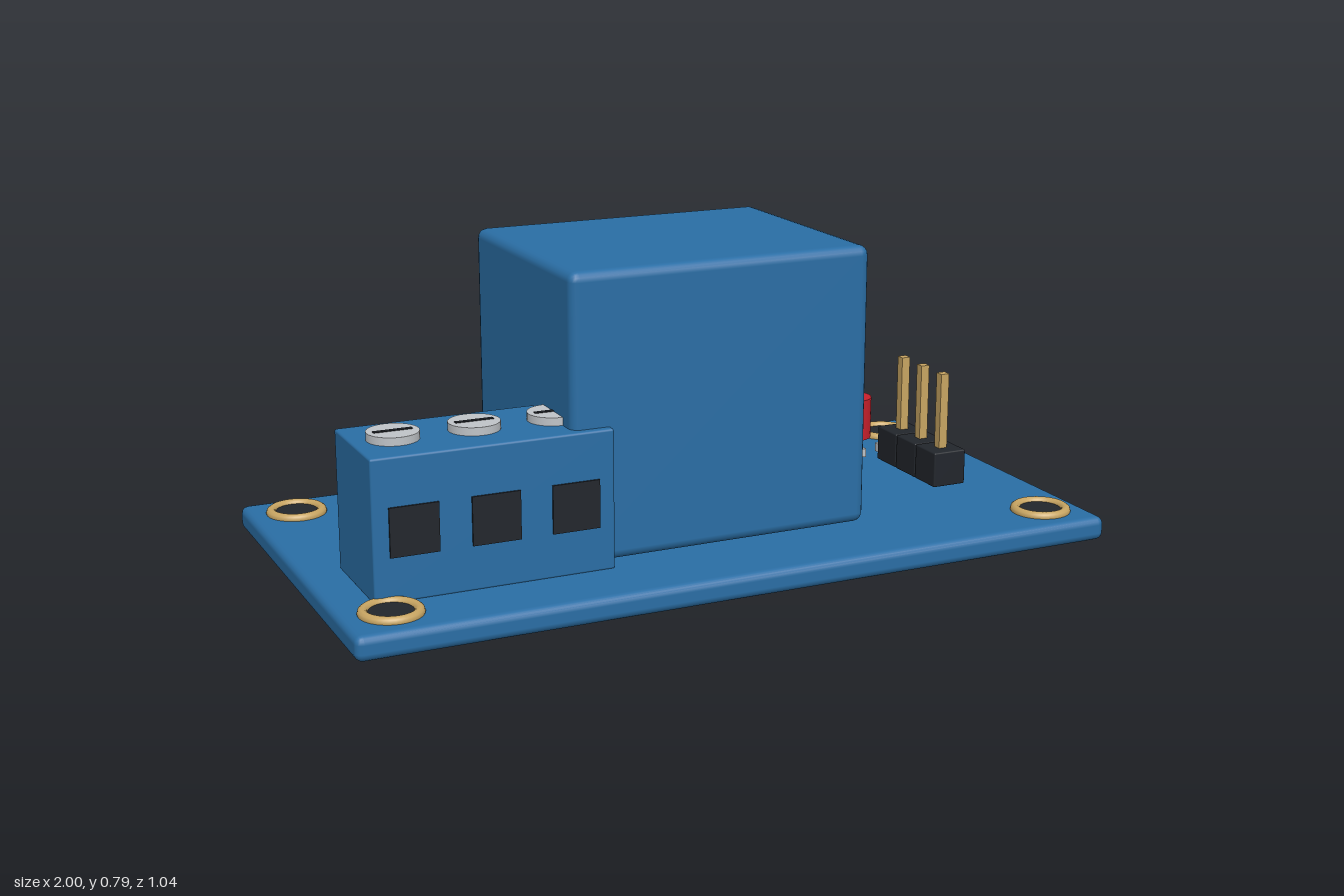
import * as THREE from 'three';
import { RoundedBoxGeometry } from 'three/addons/geometries/RoundedBoxGeometry.js';

const paint = (color) => new THREE.MeshStandardMaterial({ color });

export function createModel() {
  const model = new THREE.Group();
  const blue = paint(0x2a6ea5);
  const black = paint(0x22262c);
  const gold = paint(0xc8a562);
  const silver = paint(0xc0c4c8);
  const red = paint(0xc8202c);

  const add = (name, geometry, material, x, y, z, parent = model) => {
    const mesh = new THREE.Mesh(geometry, material);
    mesh.name = name;
    mesh.position.set(x, y, z);
    parent.add(mesh);
    return mesh;
  };
  const group = (name) => {
    const g = new THREE.Group();
    g.name = name;
    model.add(g);
    return g;
  };
  const box = (w, h, d) => new THREE.BoxGeometry(w, h, d);
  const rounded = (w, h, d, r) => new RoundedBoxGeometry(w, h, d, 2, r);
  const disc = (r, h) => new THREE.CylinderGeometry(r, r, h, 32);

  // Circuit board and relay body
  add('circuitBoard', rounded(2, 0.062, 1.04, 0.02), blue, 0, 0.033, 0);
  add('relayBody', rounded(0.8, 0.715, 0.64, 0.025), blue, 0, 0.4325, 0);

  // Plated mounting holes in the four corners
  const holes = group('mountingHoles');
  const ring = new THREE.TorusGeometry(0.065, 0.013, 10, 40).rotateX(Math.PI / 2);
  for (const x of [-0.88, 0.88]) {
    for (const z of [-0.4, 0.4]) {
      add('holeRing', ring, gold, x, 0.067, z, holes);
      add('holeCentre', disc(0.06, 0.02), black, x, 0.06, z, holes);
    }
  }

  // Screw terminal with wire openings and slotted screws
  const terminal = group('screwTerminal');
  add('terminalBlock', rounded(0.6, 0.35, 0.28, 0.006), blue, -0.6, 0.237, 0.2, terminal);
  for (const x of [-0.8, -0.6, -0.4]) {
    add('wireOpening', box(0.12, 0.12, 0.02), black, x, 0.233, 0.335, terminal);
    add('terminalScrew', disc(0.063, 0.03), silver, x, 0.417, 0.2, terminal);
    add('screwSlot', box(0.095, 0.004, 0.012), black, x, 0.432, 0.2, terminal);
  }

  // Three-pin header
  const header = group('pinHeader');
  for (const z of [-0.1, 0, 0.1]) {
    add('headerBlock', rounded(0.096, 0.095, 0.098, 0.004), black, 0.76, 0.1225, z, header);
    add('headerPin', box(0.024, 0.295, 0.024), gold, 0.76, 0.2275, z, header);
  }

  // Indicator lamp
  add('indicatorLamp', disc(0.06, 0.117), red, 0.72, 0.1535, -0.32);

  // Small surface resistors with metal end caps
  const resistors = group('resistors');
  for (const x of [0.48, 0.64, 0.8]) {
    add('resistorBody', box(0.08, 0.02, 0.038), black, x, 0.086, -0.2, resistors);
    for (const side of [-1, 1]) {
      add('resistorCap', box(0.02, 0.024, 0.042), silver, x + side * 0.043, 0.086, -0.2, resistors);
    }
  }

  return model;
}
